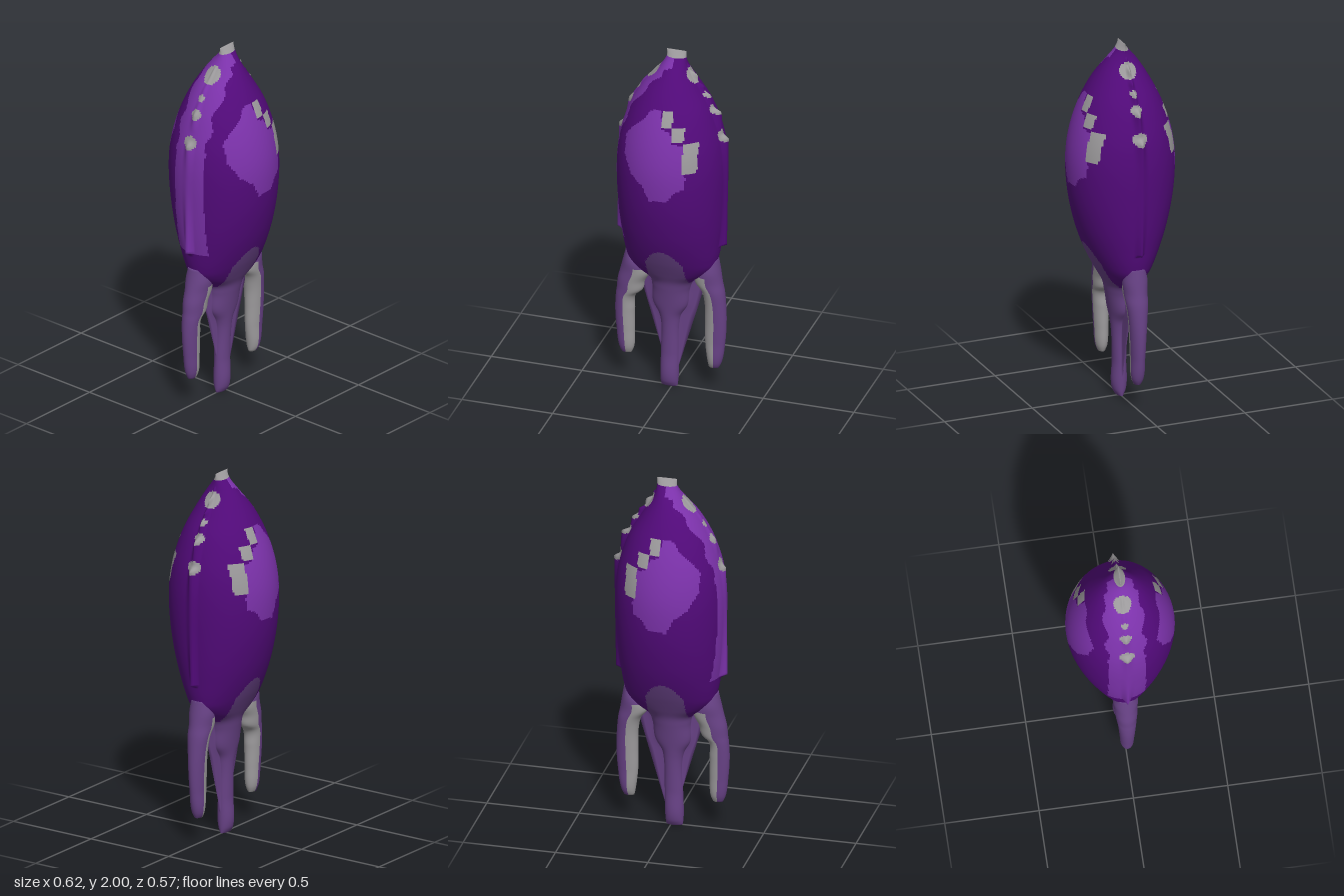
import * as THREE from 'three';

const mat = (name, color) => {
  const m = new THREE.MeshStandardMaterial({ color, side: THREE.DoubleSide });
  m.name = name;
  return m;
};

// Smooth or straight interpolation through rows of [y, ...values]
function track(rows, Type = THREE.CubicInterpolant) {
  const f = new Type(rows.map(r => r[0]), rows.flatMap(r => r.slice(1)), rows[0].length - 1);
  return y => [...f.evaluate(y)];
}

// Lofts horizontal rings between y0 and y1; paint(x, y, z, angle) picks a material index per cell
function loft(name, y0, y1, nRows, nSides, ring, paint, materials) {
  const pos = [];
  for (let i = 0; i <= nRows; i++) {
    const y = y0 + (y1 - y0) * i / nRows;
    for (let j = 0; j < nSides; j++) pos.push(...ring(y, j / nSides * Math.PI * 2));
  }
  const bins = materials.map(() => []);
  const mid = (a, d, k) => (pos[a * 3 + k] + pos[d * 3 + k]) / 2;
  for (let i = 0; i < nRows; i++) for (let j = 0; j < nSides; j++) {
    const j2 = (j + 1) % nSides;
    const a = i * nSides + j, b = i * nSides + j2, c = a + nSides, d = b + nSides;
    const k = paint(mid(a, d, 0), mid(a, d, 1), mid(a, d, 2), (j + 0.5) / nSides * Math.PI * 2);
    bins[k].push(a, c, b, b, c, d);
  }
  // Flat end caps
  const top = nRows * nSides;
  const kBottom = paint(mid(0, nSides / 2, 0), y0, 0, 0);
  const kTop = paint(mid(top, top + nSides / 2, 0), y1, 0, 0);
  for (let j = 1; j < nSides - 1; j++) {
    bins[kBottom].push(0, j, j + 1);
    bins[kTop].push(top, top + j + 1, top + j);
  }
  const g = new THREE.BufferGeometry();
  g.setAttribute('position', new THREE.Float32BufferAttribute(pos, 3));
  g.setIndex(bins.flat());
  let start = 0;
  bins.forEach((bin, k) => {
    if (bin.length) g.addGroup(start, bin.length, k);
    start += bin.length;
  });
  g.computeVertexNormals();
  const mesh = new THREE.Mesh(g, materials);
  mesh.name = name;
  return mesh;
}

// Point-in-polygon test for the painted patch
function inside(poly, x, y) {
  let hit = false;
  poly.forEach(([ax, ay], i) => {
    const [bx, by] = poly[(i + 1) % poly.length];
    if ((ay > y) !== (by > y) && x < (bx - ax) * (y - ay) / (by - ay) + ax) hit = !hit;
  });
  return hit;
}

export function createModel() {
  const group = new THREE.Group();
  const materials = [
    mat('deepPurple', 0x520a7a), mat('brightPurple', 0x7c32ab),
    mat('paleGrey', 0x9c9a9c), mat('mutedPurple', 0x684286),
  ];
  const DEEP = 0, BRIGHT = 1, GREY = 2, MUTED = 3;

  // Body and central stem: y, centre x, half width, half depth
  const core = track([
    [0, -0.017, 0.044, 0.018], [0.03, -0.017, 0.048, 0.034], [0.2, -0.014, 0.049, 0.036],
    [0.38, -0.011, 0.051, 0.044], [0.43, -0.012, 0.062, 0.05], [0.49, -0.01, 0.095, 0.06],
    [0.6, -0.004, 0.106, 0.08], [0.65, 0, 0.125, 0.092], [0.7, 0, 0.195, 0.117],
    [0.75, 0, 0.237, 0.143], [0.8, 0, 0.252, 0.168], [0.9, 0, 0.268, 0.21],
    [1, 0, 0.28, 0.242], [1.15, 0, 0.29, 0.274], [1.3, 0, 0.294, 0.287],
    [1.4, 0, 0.29, 0.284], [1.5, 0, 0.277, 0.268], [1.6, 0, 0.25, 0.24],
    [1.7, 0, 0.211, 0.2], [1.8, 0, 0.152, 0.148], [1.9, 0.012, 0.08, 0.083],
    [1.96, 0.022, 0.054, 0.033], [2, 0.023, 0.052, 0.002],
  ]);
  // Stepped thin ridge running up each side
  const ridgeL = track([
    [0, 0], [0.87, 0.25], [0.88, 0.3], [1.52, 0.31], [1.54, 0.277], [1.67, 0.27],
    [1.69, 0.225], [1.76, 0.212], [1.78, 0.18], [1.81, 0.175], [1.83, 0.142],
    [1.87, 0.138], [1.89, 0.1], [1.92, 0.095], [1.93, 0.077], [2, 0.077],
  ], THREE.LinearInterpolant);
  const ridgeR = track([
    [0, 0], [0.87, 0.25], [0.9, 0.305], [1.52, 0.295], [1.55, 0.26], [1.68, 0.24],
    [1.7, 0.222], [1.75, 0.19], [1.8, 0.16], [1.85, 0.115], [1.87, 0.1],
    [1.9, 0.072], [1.92, 0.045], [1.93, 0.03], [2, 0.03],
  ], THREE.LinearInterpolant);

  const bodyRing = (y, t) => {
    const [cx, w, d] = core(y);
    const s = Math.cos(t) >= 0 ? 1 : -1;
    const edge = (s > 0 ? ridgeL : ridgeR)(y)[0];
    const extra = Math.max(0, edge - s * cx - w);
    const fin = Math.max(0, 1 - Math.abs(Math.sin(t)) / 0.12);
    return [cx + w * Math.cos(t) + s * extra * fin, y, d * Math.sin(t)];
  };

  // Painted patches, the same on front and back
  const patch = [
    [-0.06, 1.72], [0, 1.73], [0.01, 1.64], [0.06, 1.62], [0.07, 1.57], [0.13, 1.55],
    [0.13, 1.41], [0.15, 1.38], [0.14, 1.31], [0.09, 1.29], [0.06, 1.24], [-0.04, 1.23],
    [-0.08, 1.31], [-0.15, 1.36], [-0.2, 1.45], [-0.2, 1.55], [-0.16, 1.61], [-0.1, 1.66],
  ];
  const greyTiles = [[0.01, 0.065, 1.645, 1.73], [0.065, 0.13, 1.57, 1.645], [0.13, 0.2, 1.4, 1.56]];
  const greySpots = [[1.535, 0.035], [1.68, 0.028], [1.76, 0.018], [1.865, 0.042]];

  const bodyPaint = (x, y, z) => {
    const az = Math.abs(z);
    if (y < 0.65 || (Math.abs(x) < 0.105 && y < 0.89 - 9 * x * x)) return MUTED;
    if (y > 1.965) return GREY;
    if (greySpots.some(([sy, r]) => Math.hypot(y - sy, az * 0.9) < r)) return GREY;
    // Bright band beside the ridge on the -x side
    if (x < 0.02 && y > 1.9 && az < 0.07) return BRIGHT;
    if (x < -0.03 && y > 0.89 && az < 0.1 + 0.012 * Math.sin(y * 40) * (y > 1.5)) return BRIGHT;
    if (az < 0.08) return DEEP;
    if (greyTiles.some(([x0, x1, y0, y1]) => x > x0 && x < x1 && y > y0 && y < y1)) return GREY;
    return inside(patch, x, y) ? BRIGHT : DEEP;
  };
  group.add(loft('bodyAndStem', 0, 2, 220, 160, bodyRing, bodyPaint, materials));

  // Curved side legs: y, inner |x|, outer |x|, half depth
  const legs = {
    leftLeg: [1, [
      [0.145, 0.2, 0.255, 0.018], [0.17, 0.195, 0.268, 0.03], [0.3, 0.18, 0.29, 0.038],
      [0.42, 0.18, 0.297, 0.044], [0.53, 0.178, 0.293, 0.052], [0.6, 0.162, 0.286, 0.06],
      [0.65, 0.125, 0.276, 0.064], [0.72, 0.14, 0.265, 0.066], [0.79, 0.2, 0.253, 0.045],
    ]],
    rightLeg: [-1, [
      [0.16, 0.225, 0.28, 0.018], [0.19, 0.213, 0.293, 0.03], [0.3, 0.208, 0.308, 0.038],
      [0.42, 0.208, 0.315, 0.044], [0.51, 0.2, 0.31, 0.05], [0.54, 0.166, 0.306, 0.055],
      [0.6, 0.15, 0.3, 0.06], [0.66, 0.12, 0.285, 0.064], [0.72, 0.14, 0.27, 0.066],
      [0.79, 0.2, 0.253, 0.045],
    ]],
  };
  for (const [name, [s, rows]] of Object.entries(legs)) {
    const at = track(rows);
    const ring = (y, t) => {
      const [inner, outer, d] = at(y);
      return [s * (inner + outer) / 2 + (outer - inner) / 2 * Math.cos(t), y, d * Math.sin(t)];
    };
    // Grey on the inner face, muted purple outside
    const paint = (x, y, z, t) => (y < 0.69 && s * Math.cos(t) < 0.05 ? GREY : MUTED);
    group.add(loft(name, rows[0][0], rows.at(-1)[0], 60, 40, ring, paint, materials));
  }
  return group;
}
